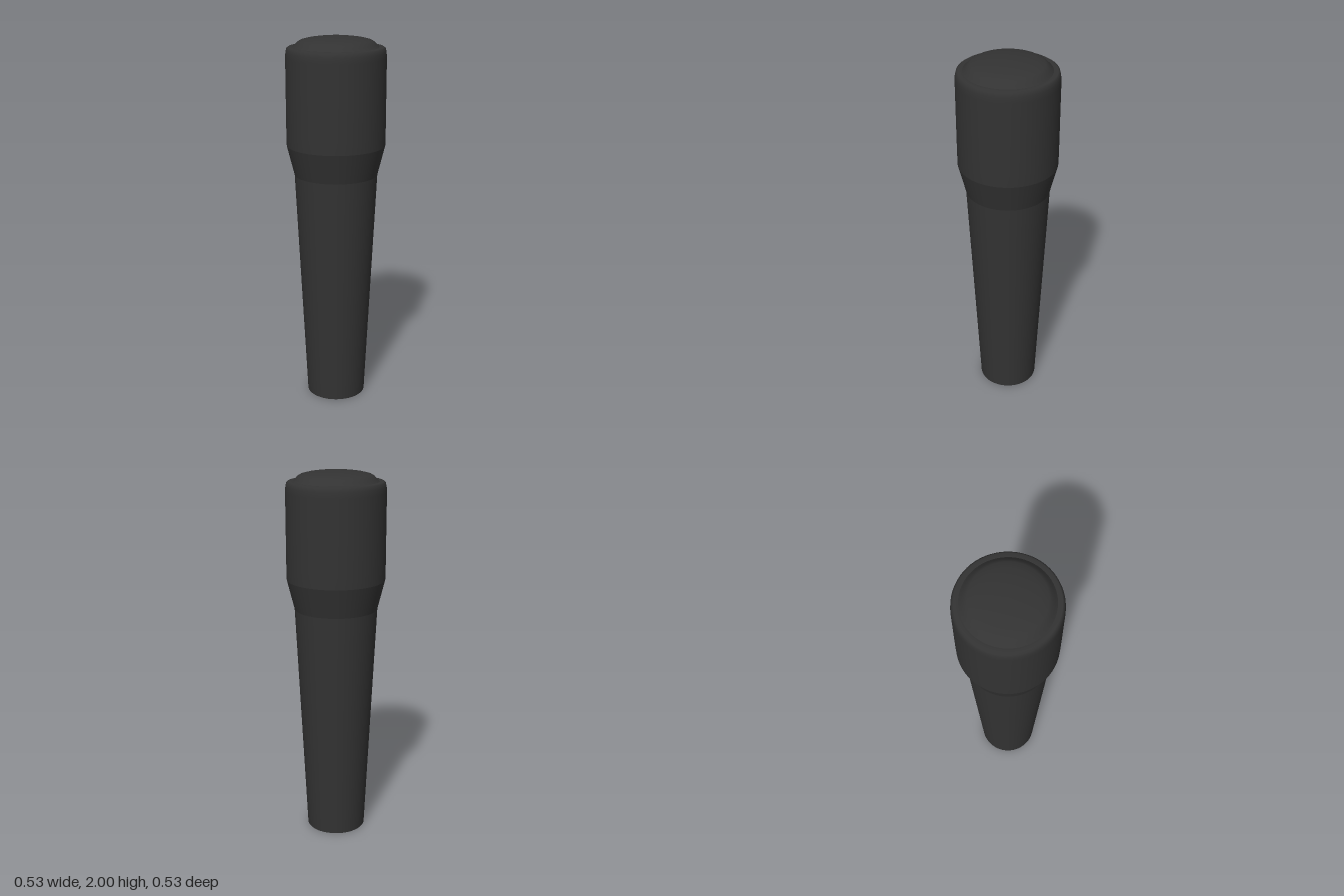
import * as THREE from 'three';

export function createModel() {
  const group = new THREE.Group();
  const black = new THREE.MeshStandardMaterial({ color: 0x333333 });
  black.name = 'matteBlack';

  // Each part is a smooth turned profile of [radius, height] points
  const turn = (name, profile) => {
    const points = profile.map(([r, y]) => new THREE.Vector2(r, y));
    const mesh = new THREE.Mesh(new THREE.LatheGeometry(points, 64), black);
    mesh.name = name;
    group.add(mesh);
  };

  // Flat underside
  turn('base', [[0, 0], [0.16, 0]]);

  // Tapered grip flaring into the wider head
  turn('grip', [[0.16, 0], [0.191, 0.635], [0.222, 1.27]]);
  turn('flare', [[0.222, 1.27], [0.262, 1.43]]);

  // Head with a softened rim
  turn('head', [[0.262, 1.43], [0.263, 1.5], [0.263, 1.89], [0.261, 1.92],
    [0.256, 1.94], [0.247, 1.946], [0.225, 1.945]]);

  // Raised, gently domed cap inside the rim
  turn('cap', [[0.225, 1.945], [0.212, 1.957], [0.2, 1.97], [0.185, 1.979],
    [0.15, 1.988], [0.1, 1.995], [0.05, 1.999], [0, 2]]);

  return group;
}
